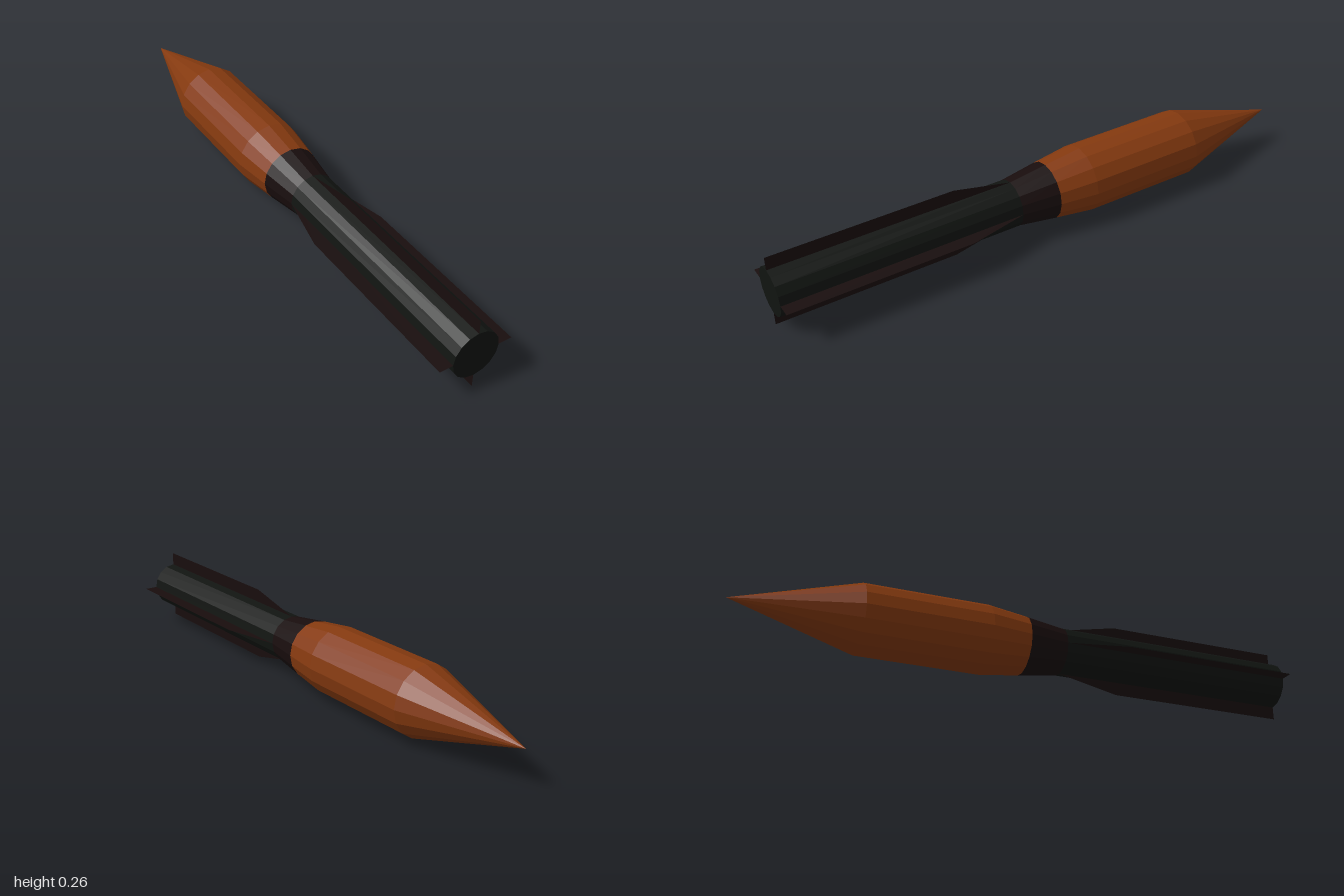
import * as THREE from 'three';

const SIDES = 16, AXIS_Y = 0.13;

function paint(color, side = THREE.FrontSide) {
  return new THREE.MeshStandardMaterial({ color, flatShading: true, side });
}

// Revolves [radius, z] pairs, listed from back to front, around the z axis
function turned(name, profile, material) {
  const geometry = new THREE.LatheGeometry(profile.map(([r, z]) => new THREE.Vector2(r, z)), SIDES);
  geometry.rotateX(Math.PI / 2);
  const mesh = new THREE.Mesh(geometry, material);
  mesh.name = name;
  mesh.position.y = AXIS_Y;
  return mesh;
}

export function createModel() {
  const model = new THREE.Group();
  model.name = 'missile';
  const brown = paint(0x84390f);
  const darkRed = paint(0x180d0d);
  const charcoal = paint(0x111411);
  const finPaint = paint(0x180d0d, THREE.DoubleSide);

  // Pointed nose, straight warhead and the start of its taper
  model.add(turned('warhead', [[0, -1], [0.121, -0.575], [0.121, -0.14], [0.103, 0]], brown));
  // Dark collar narrowing to the tail
  model.add(turned('collar', [[0.103, 0], [0.083, 0.14]], darkRed));
  // Straight tail tube with a closed end
  model.add(turned('tailTube', [[0.083, 0.14], [0.083, 1], [0, 1]], charcoal));

  // Four thin fins, drawn as (radius, z) and turned around the axis
  const outline = [[0.05, 0.14], [0.083, 0.14], [0.13, 0.355], [0.13, 1], [0.05, 1]];
  const finShape = new THREE.Shape(outline.map(([r, z]) => new THREE.Vector2(r, z)));
  const finGeometry = new THREE.ShapeGeometry(finShape).rotateX(Math.PI / 2);
  const fins = new THREE.Group();
  fins.name = 'tailFins';
  fins.position.y = AXIS_Y;
  for (let i = 0; i < 4; i++) {
    const fin = new THREE.Mesh(finGeometry, finPaint);
    fin.name = 'fin';
    fin.rotation.z = i * Math.PI / 2;
    fins.add(fin);
  }
  model.add(fins);
  return model;
}
